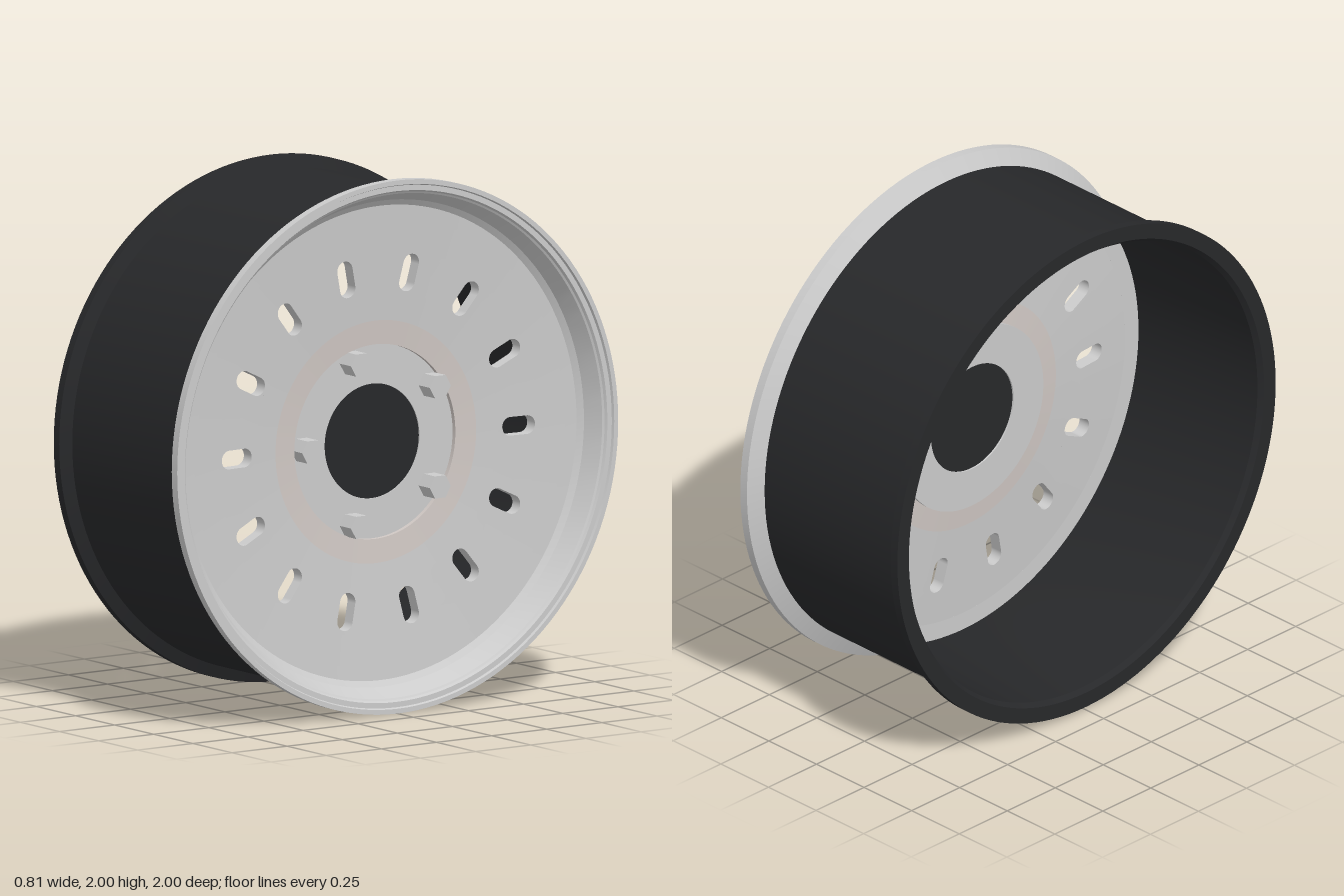
import * as THREE from 'three';
import { toCreasedNormals } from 'three/addons/utils/BufferGeometryUtils.js';

const SEG = 140;
const THICK = 0.05;
const SLOTS = 14;
const BOLTS = 5;

const grey = new THREE.MeshStandardMaterial({ color: 0xcccccc });
const black = new THREE.MeshStandardMaterial({ color: 0x27282a });
const warm = new THREE.MeshStandardMaterial({ color: 0xd0c8c4 });

// Height of the shallow dished face at radius r
const SLOPE = 0.065;
const dish = (r) => 0.26 + (r - 0.455) * SLOPE;

function mesh(name, geometry, material) {
  const m = new THREE.Mesh(geometry, material);
  m.name = name;
  return m;
}

// Closed ring turned from a counter-clockwise [radius, height] profile
function ring(name, profile, material) {
  const pts = [...profile, profile[0]].map(([r, y]) => new THREE.Vector2(r, y));
  return mesh(name, toCreasedNormals(new THREE.LatheGeometry(pts, SEG), 0.3), material);
}

// Plain dished annulus of constant thickness
function dishRing(name, inner, outer, material) {
  return ring(name, [
    [inner, dish(inner) - THICK], [outer, dish(outer) - THICK],
    [outer, dish(outer)], [inner, dish(inner)],
  ], material);
}

// Dished band pierced by radial, round-ended slots
function slottedBand(inner, outer) {
  const shape = new THREE.Shape();
  shape.absarc(0, 0, outer, 0, Math.PI * 2);
  const bore = new THREE.Path();
  bore.absarc(0, 0, inner, 0, Math.PI * 2, true);
  shape.holes.push(bore);

  const half = 0.035;
  for (let i = 0; i < SLOTS; i++) {
    const a = Math.PI / 2 + (i / SLOTS) * Math.PI * 2;
    const c = Math.cos(a), s = Math.sin(a);
    const slot = new THREE.Path();
    slot.absarc(c * 0.675, s * 0.675, half, a - Math.PI / 2, a + Math.PI / 2);
    slot.absarc(c * 0.603, s * 0.603, half, a + Math.PI / 2, a + Math.PI * 1.5);
    shape.holes.push(slot);
  }

  const geo = new THREE.ExtrudeGeometry(shape, {
    depth: THICK, bevelEnabled: false, curveSegments: SEG / 2,
  });
  // Shift each point onto the dish and tilt the face normals to match
  const p = geo.attributes.position, n = geo.attributes.normal;
  const v = new THREE.Vector3();
  for (let i = 0; i < p.count; i++) {
    const x = p.getX(i), y = p.getY(i), r = Math.hypot(x, y);
    p.setZ(i, p.getZ(i) + dish(r) - THICK);
    const side = n.getZ(i);
    if (Math.abs(side) > 0.5) {
      v.set(-SLOPE * x / r, -SLOPE * y / r, 1).normalize().multiplyScalar(Math.sign(side));
      n.setXYZ(i, v.x, v.y, v.z);
    }
  }
  geo.rotateX(-Math.PI / 2);
  return mesh('slottedBand', geo, grey);
}

export function createModel() {
  // The wheel is turned about its local y axis, outer face up
  const wheel = new THREE.Group();
  wheel.name = 'wheel';

  // Barrel with the rear flange
  wheel.add(ring('barrel', [
    [0.91, -0.39], [0.925, -0.41], [0.985, -0.41], [0.985, -0.375],
    [0.94, -0.355], [0.94, 0.335], [0.928, 0.335], [0.91, 0.24],
  ], black));

  // Front lip, stepped bead and sloping inner wall
  wheel.add(ring('frontLip', [
    [0.92, 0.235], [0.935, 0.33], [1, 0.365], [1, 0.4], [0.982, 0.4],
    [0.978, 0.39], [0.958, 0.39], [0.952, 0.38], [0.945, 0.375], [0.912, 0.305],
    [0.89, dish(0.89)], [0.84, dish(0.84)], [0.84, 0.235],
  ], grey));

  // Dished wheel face
  wheel.add(dishRing('outerFace', 0.725, 0.84, grey));
  wheel.add(slottedBand(0.55, 0.725));
  wheel.add(dishRing('innerFace', 0.455, 0.55, grey));
  wheel.add(dishRing('hubRing', 0.365, 0.455, warm));

  // Recessed mounting plate and centre cap
  wheel.add(ring('mountingPlate', [
    [0.215, 0.19], [0.37, 0.19], [0.37, 0.236], [0.215, 0.236],
  ], grey));
  const cap = mesh('centreCap', new THREE.CylinderGeometry(0.216, 0.216, 0.035, 72), black);
  cap.position.y = 0.214;
  wheel.add(cap);

  // Hexagonal wheel bolts
  const boltGeo = new THREE.CylinderGeometry(0.048, 0.048, 0.075, 6).toNonIndexed();
  boltGeo.computeVertexNormals();
  for (let i = 0; i < BOLTS; i++) {
    const a = (i / BOLTS) * Math.PI * 2;
    const bolt = mesh('wheelBolt', boltGeo, grey);
    bolt.position.set(0.32 * Math.sin(a), 0.27, 0.32 * Math.cos(a));
    wheel.add(bolt);
  }

  // Stand the wheel upright with its outer face towards +x
  wheel.rotation.z = -Math.PI / 2;
  wheel.position.y = 1;

  const model = new THREE.Group();
  model.name = 'wheelRim';
  model.add(wheel);
  return model;
}
